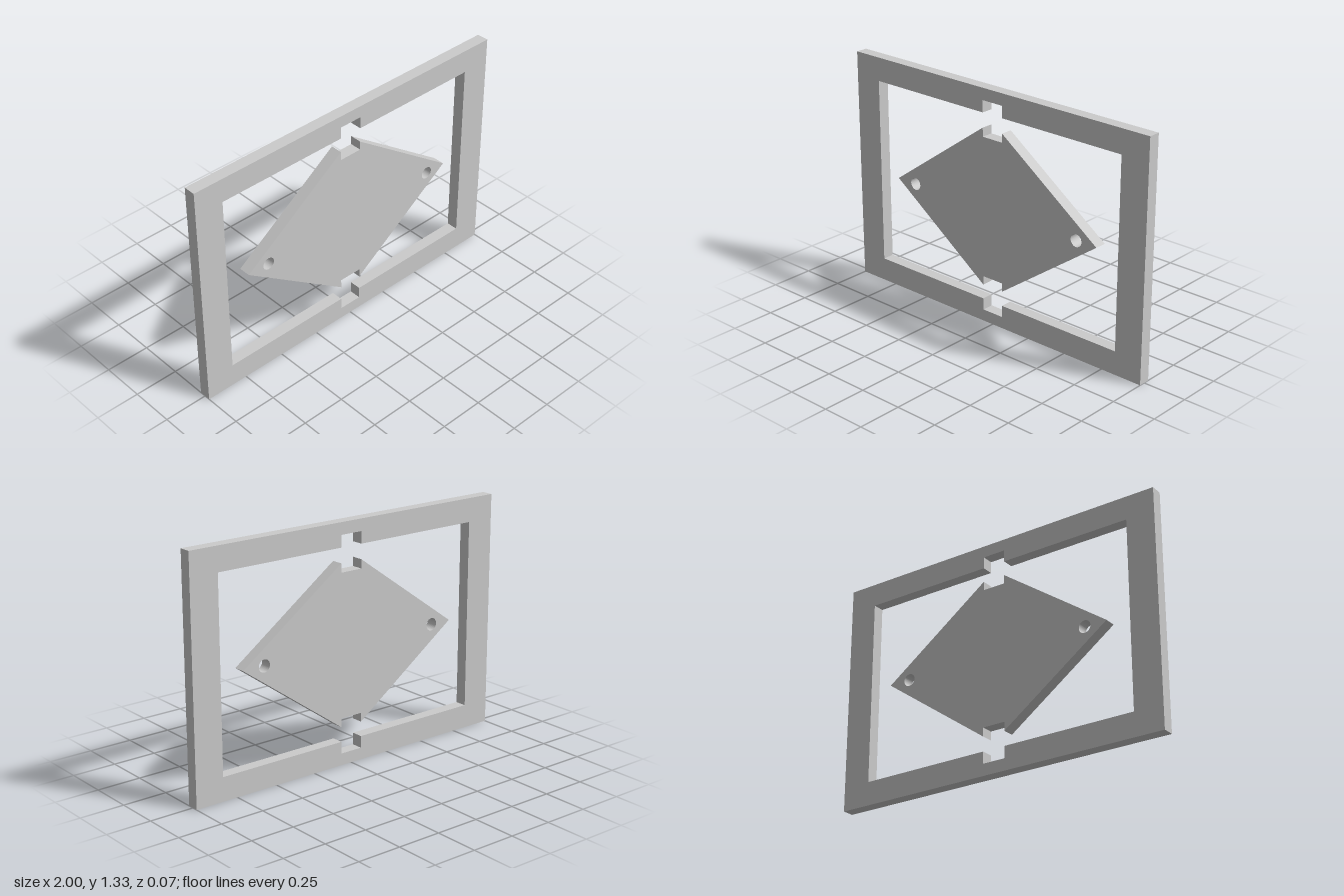
import * as THREE from 'three';

const DEPTH = 0.067, MID = 0.667, NOTCH = 0.067;

// Mirror a first-quadrant outline into a closed, fully symmetric one
function mirrored(quarter) {
  const rev = [...quarter].reverse();
  return [
    ...quarter,
    ...rev.map(([x, y]) => [-x, y]),
    ...quarter.map(([x, y]) => [-x, -y]),
    ...rev.map(([x, y]) => [x, -y]),
  ].map(([x, y]) => new THREE.Vector2(x, y));
}

function plate(name, shape, material) {
  const geometry = new THREE.ExtrudeGeometry(shape, { depth: DEPTH, bevelEnabled: false, curveSegments: 32 });
  geometry.translate(0, MID, -DEPTH / 2);
  const mesh = new THREE.Mesh(geometry, material);
  mesh.name = name;
  return mesh;
}

export function createModel() {
  const group = new THREE.Group();
  group.name = 'framedDiamond';
  const material = new THREE.MeshStandardMaterial({ color: 0xcccccc });

  // Rectangular frame, its opening notched at top and bottom centre
  const frame = new THREE.Shape(mirrored([[1, MID]]));
  frame.holes.push(new THREE.Path(mirrored([[0.835, 0.533], [NOTCH, 0.533], [NOTCH, 0.6]])));
  group.add(plate('frame', frame, material));

  // Diamond plate with notched top and bottom corners
  const diamond = new THREE.Shape(
    mirrored([[0.698, 0], [NOTCH, 0.45], [NOTCH, 0.4]]).filter((p, i, all) => i === 0 || !p.equals(all[i - 1])).slice(0, -1)
  );
  // Round hole near each side corner
  for (const side of [-1, 1]) {
    diamond.holes.push(new THREE.Path().absarc(side * 0.567, 0, 0.035, 0, Math.PI * 2, true));
  }
  group.add(plate('diamondPlate', diamond, material));

  return group;
}
